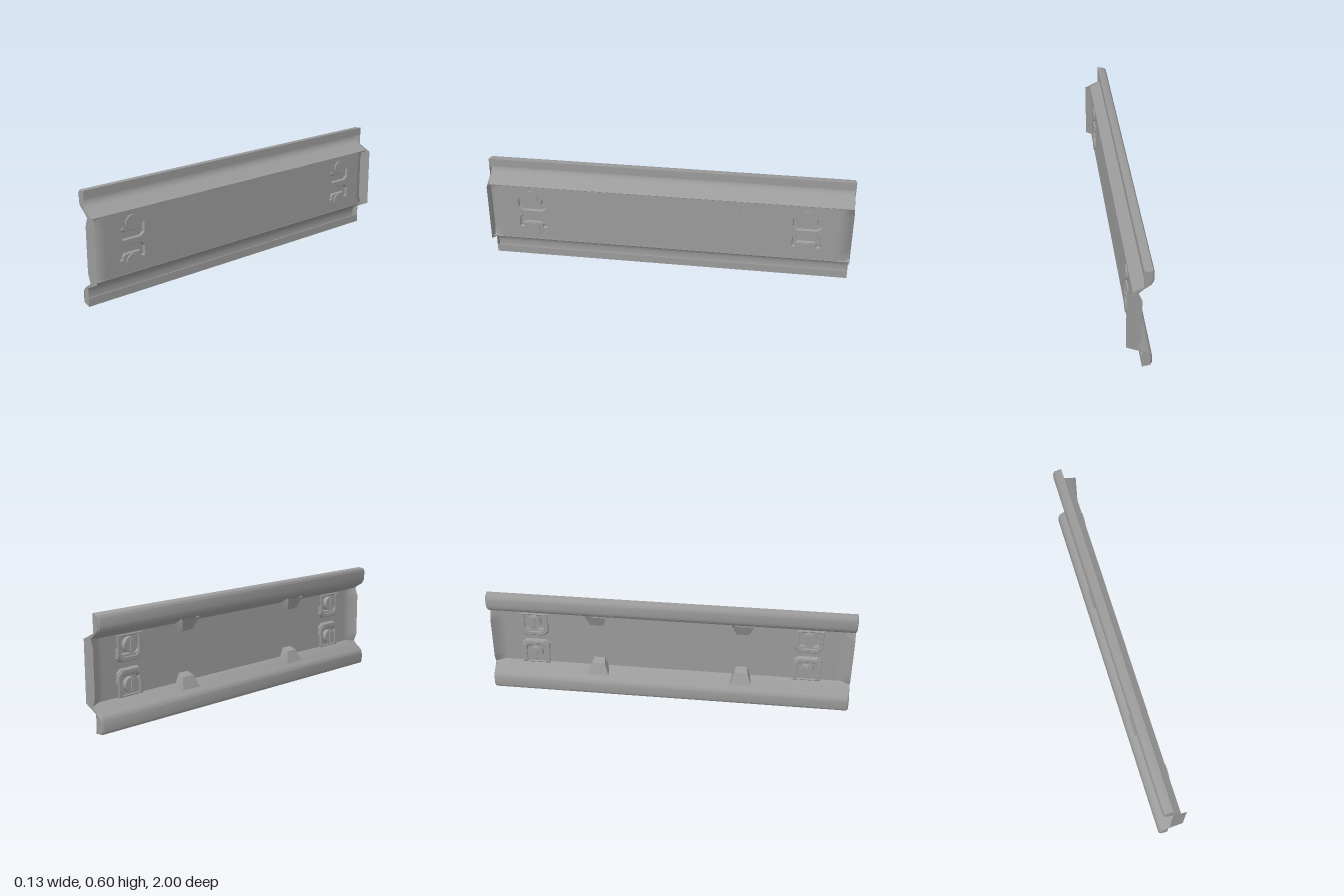
import * as THREE from 'three';
import { toCreasedNormals } from 'three/addons/utils/BufferGeometryUtils.js';

const MID = 0.3;       // height of the mirror line
const WEB_X = 0.032;   // plane of the web
const FLAT = 0.925;    // half length of the flat part of the web
const FASTENER_Z = 0.76;
const material = new THREE.MeshStandardMaterial({ color: 0x9b9b9b, side: THREE.DoubleSide });

// Upper flange in section (x, height above the mirror line), from lip to web
const outer = [[-0.015, 0.256], [-0.015, 0.3], [-0.045, 0.3], [-0.058, 0.296], [-0.065, 0.283],
  [-0.065, 0.24], [-0.062, 0.225], [-0.054, 0.21], [-0.04, 0.199], [0.03, 0.16]];
const inner = [[-0.02, 0.256], [-0.02, 0.29], [-0.044, 0.29], [-0.052, 0.287], [-0.055, 0.279],
  [-0.055, 0.243], [-0.052, 0.23], [-0.046, 0.218], [-0.034, 0.207], [0.033, 0.166]];

// Skin over equally long cross-sections
function loft(rings) {
  const n = rings[0].length, index = [];
  for (let r = 0; r < rings.length - 1; r++) {
    for (let i = 0; i < n; i++) {
      const a = r * n + i, b = r * n + (i + 1) % n;
      index.push(a, b, a + n, b, b + n, a + n);
    }
  }
  const g = new THREE.BufferGeometry();
  g.setAttribute('position', new THREE.Float32BufferAttribute(rings.flat(2), 3));
  g.setIndex(index);
  return toCreasedNormals(g, 0.6);
}

function add(parent, name, geometry, x = 0, y = 0, z = 0) {
  const mesh = new THREE.Mesh(geometry, material);
  mesh.name = name;
  mesh.position.set(x, y, z);
  parent.add(mesh);
}

const vectors = (pts) => pts.map(([x, y]) => new THREE.Vector2(x, y));
const shapeOf = (pts) => new THREE.Shape(vectors(pts));

// Bent sheet whose outer edge rounds over at both ends
function flangeGeometry() {
  const stations = [[-1, 0.85], [-0.997, 0.4], [-0.99, 0], [0.99, 0], [0.997, 0.4], [1, 0.85]];
  return loft(stations.map(([z, k]) => {
    const back = outer.map(([x, y], i) => {
      const t = i < 2 || i === outer.length - 1 ? 0 : k;
      return [x + (inner[i][0] - x) * t, y + (inner[i][1] - y) * t, z];
    });
    return [...back, ...inner.map(([x, y]) => [x, y, z]).reverse()];
  }));
}

// U-shaped recess outline (z, height), drawn in by d
const recess = (d) => {
  const right = [[0.055 - d * 0.5, 0.015 + d], [0.078 - d, 0.035 + d * 0.5], [0.078 - d, 0.09 - d],
    [0.053 + d, 0.09 - d], [0.053 + d, 0.07 - d * 0.5], [0.043 + d * 0.5, 0.06 - d]];
  return [...right, ...right.map(([z, y]) => [-z, y]).reverse()];
};

// Flat middle of the web, pierced by the four recesses
function webGeometry() {
  const h = 0.166;
  const shape = shapeOf([[-FLAT, -h], [FLAT, -h], [FLAT, h], [-FLAT, h]]);
  for (const side of [-1, 1]) {
    for (const end of [-1, 1]) {
      shape.holes.push(new THREE.Path(vectors(
        recess(0).map(([z, y]) => [z + end * FASTENER_Z, y * side]))));
    }
  }
  return new THREE.ShapeGeometry(shape).rotateY(Math.PI / 2);
}

// Web end sweeping backward to the end plate
function flareGeometry(end) {
  const length = 1 - FLAT;
  const g = new THREE.PlaneGeometry(length, 0.332, 8, 24).rotateY(Math.PI / 2);
  g.translate(0, 0, end * (FLAT + length / 2));
  const p = g.attributes.position;
  for (let i = 0; i < p.count; i++) {
    const f = (Math.abs(p.getZ(i)) - FLAT) / length;
    const edge = Math.min(1, 0.6 + (0.166 - Math.abs(p.getY(i))) / 0.107);
    p.setX(i, -0.042 * f * f * edge);
  }
  g.computeVertexNormals();
  return g;
}

// End plate closing both flanges and standing proud of the web
function endGeometry() {
  const half = [[-0.01, 0.123], [0.007, 0.168], ...inner.slice(2, 9).reverse(),
    [-0.015, 0.29], [-0.015, 0.2], [0.064, 0.163]];
  const lower = half.map(([x, y]) => [x, -y]).reverse();
  return new THREE.ShapeGeometry(shapeOf([...half, ...lower]));
}

// Tapered corner brace behind the web
function gussetGeometry() {
  const section = (x, y, w, bx, by, bw) => [[x, y, -w], [x, y, w], [bx, by, bw], [bx, by, -bw]];
  return loft([
    section(-0.036, 0.188, 0.058, -0.03, 0.195, 0.058),
    section(-0.01, 0.125, 0.036, 0.0, 0.18, 0.056),
    section(0.033, 0.11, 0.03, 0.033, 0.163, 0.05),
  ]);
}

// Frame with cut corners behind the web, extruded along x
function frameGeometry() {
  const frame = shapeOf([[-0.078, 0.07], [-0.078, -0.04], [-0.05, -0.07], [0.05, -0.07],
    [0.078, -0.04], [0.078, 0.07]]);
  frame.holes.push(new THREE.Path(vectors([[-0.053, 0.06], [0.053, 0.06], [0.053, -0.03],
    [0.038, -0.045], [-0.038, -0.045], [-0.053, -0.03]])));
  return new THREE.ExtrudeGeometry(frame, {
    depth: 0.004, bevelEnabled: true, bevelThickness: 0.003, bevelSize: 0.004,
    bevelOffset: -0.004, bevelSegments: 1,
  }).rotateY(Math.PI / 2);
}

// Recess, frame and slotted bolt around one raised tab
function fastener() {
  const g = new THREE.Group();
  g.name = 'fastener';
  const ring = (x, d) => recess(d).map(([z, y]) => [x, y, z]);
  add(g, 'recessWall', loft([ring(WEB_X, 0), ring(0.021, 0.006)]));
  add(g, 'recessFloor', new THREE.ShapeGeometry(shapeOf(recess(0.006))).rotateY(Math.PI / 2), 0.021);
  add(g, 'mountingFrame', frameGeometry(), 0.014, 0.09);
  const disc = new THREE.CylinderGeometry(0.039, 0.041, 0.036, 24).rotateZ(-Math.PI / 2);
  add(g, 'boltHead', disc, 0.022, 0.102);
  add(g, 'boltSlotBar', new THREE.BoxGeometry(0.012, 0.064, 0.014), 0.002, 0.102);
  return g;
}

export function createModel() {
  const model = new THREE.Group();
  model.name = 'rail';
  const body = new THREE.Group();
  body.name = 'railBody';
  body.position.y = MID;
  model.add(body);

  add(body, 'web', webGeometry(), WEB_X);
  for (const end of [-1, 1]) {
    add(body, 'webFlare', flareGeometry(end), WEB_X);
    add(body, 'endPlate', endGeometry(), 0, 0, end * 0.9995);
  }

  // Everything on the upper half repeats mirrored below
  for (const side of [1, -1]) {
    const half = new THREE.Group();
    half.name = side > 0 ? 'upperHalf' : 'lowerHalf';
    half.scale.y = side;
    body.add(half);
    add(half, 'flange', flangeGeometry());
    for (const end of [-1, 1]) {
      add(half, 'gusset', gussetGeometry(), 0, 0, end * 0.4);
      const f = fastener();
      f.position.z = end * FASTENER_Z;
      half.add(f);
    }
  }
  return model;
}
